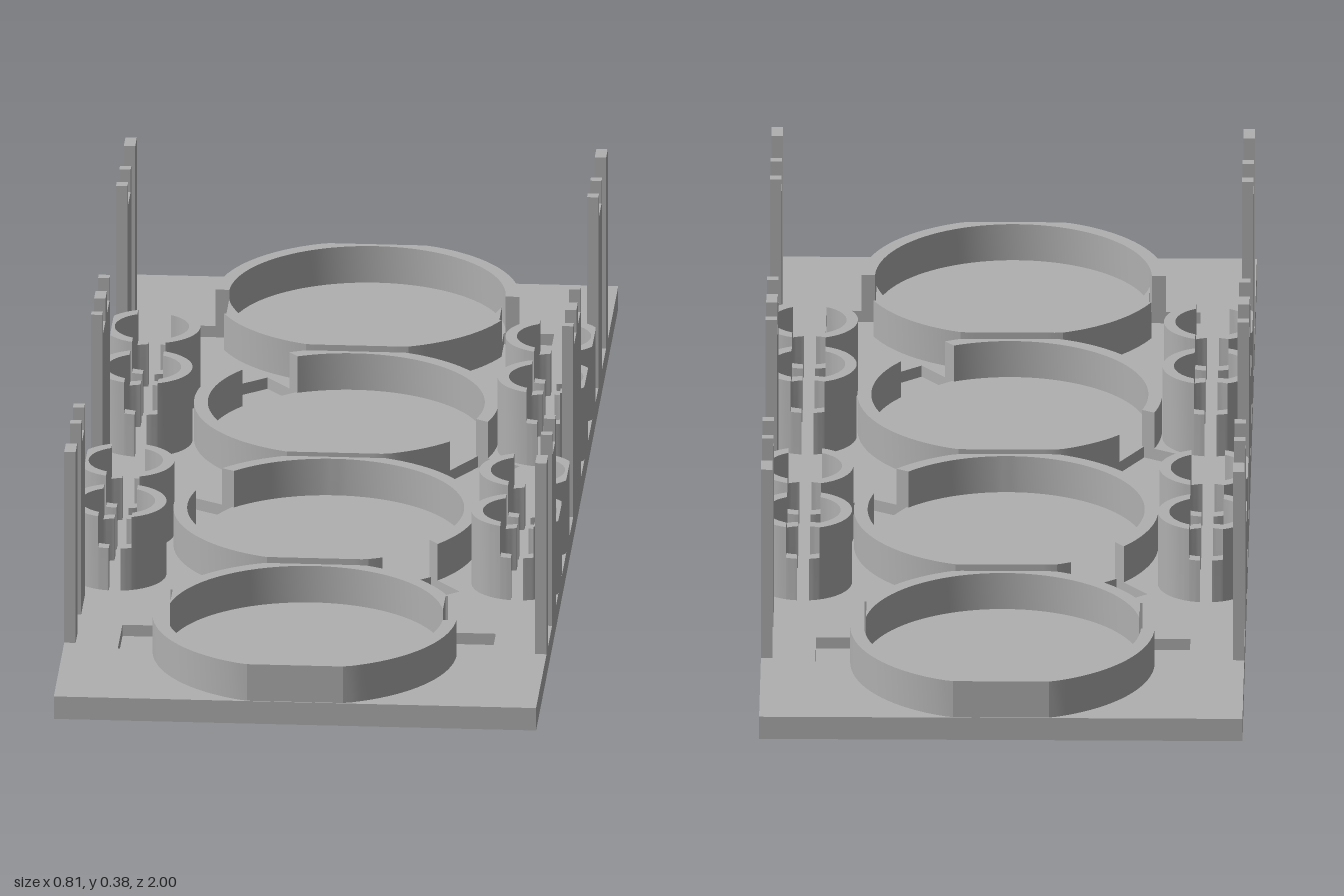
import * as THREE from 'three';
import { toCreasedNormals } from 'three/addons/utils/BufferGeometryUtils.js';

const W = 0.403, L = 1, TOP = 0.04;      // base half sizes and top height
const RO = 0.254, RI = 0.231;            // large ring radii
const CUT = 0.056, CUT_IN = 0.228, CUT_OUT = 0.312; // pocket half width and radial span
const RAD = Math.PI / 180;

export function createModel() {
  const grey = new THREE.MeshStandardMaterial({ color: 0xb0b0b0 });
  grey.name = 'grey plastic';
  const model = new THREE.Group();
  model.name = 'holderTray';

  const add = (parent, name, geometry) => {
    const mesh = new THREE.Mesh(geometry, grey);
    mesh.name = name;
    parent.add(mesh);
    return mesh;
  };

  // Extrude a plan outline of [x, z] points between two heights
  const slab = (points, y0, y1, holes = []) => {
    const toVec = ([x, z]) => new THREE.Vector2(x, z);
    const shape = new THREE.Shape(points.map(toVec));
    holes.forEach((h) => shape.holes.push(new THREE.Path(h.map(toVec))));
    const g = new THREE.ExtrudeGeometry(shape, { depth: y1 - y0, bevelEnabled: false });
    g.rotateX(Math.PI / 2).translate(0, y1, 0);
    return toCreasedNormals(g, 0.22);
  };

  // Plan points of an arc, clamped to limits
  const arc = (cx, cz, r, a0, a1, limX, limZ, n) => {
    const pts = [];
    for (let i = 0; i <= n; i++) {
      const a = a0 + ((a1 - a0) * i) / n;
      const x = THREE.MathUtils.clamp(cx + r * Math.cos(a), -limX, limX);
      const z = THREE.MathUtils.clamp(r * Math.sin(a), -limZ, limZ) + cz;
      pts.push([x, z]);
    }
    return pts;
  };

  // Rectangular pocket in the base, facing angle a with sideways offset o
  const pocket = (cz, a, o) => [[CUT_IN, o - CUT], [CUT_OUT, o - CUT], [CUT_OUT, o + CUT], [CUT_IN, o + CUT]]
    .map(([u, v]) => [u * Math.cos(a) - v * Math.sin(a), cz + u * Math.sin(a) + v * Math.cos(a)]);

  // Base plate with sunken pockets
  const Z1 = -0.758, Z2 = -0.25, OFF = 0.048;
  const A = 30.5 * RAD, B = 231.5 * RAD;
  const pockets = [pocket(Z1, 0, OFF), pocket(Z1, Math.PI, -OFF), pocket(Z2, A, 0), pocket(Z2, B, 0)];
  const opposite = pockets.map((p) => p.map(([x, z]) => [-x, -z]));
  const plate = [[-W, -L], [W, -L], [W, L], [-W, L]];
  add(model, 'basePlate', slab(plate, 0.02, TOP, [...pockets, ...opposite]));
  add(model, 'baseBottom', slab(plate, 0, 0.02));

  // Half of the tray; the other half is the same turned by 180 degrees
  const buildHalf = (name) => {
    const half = new THREE.Group();
    half.name = name;
    const H = 0.105, LZ = 0.24;

    // End ring: inner part with thinned walls beside the pockets
    const hi = OFF + CUT, lo = OFF - CUT;
    const thin = Math.acos(CUT_IN / RI);
    const sOut = Math.asin(hi / RO);
    add(half, 'endRingInner', slab([
      [CUT_IN, Z1 + hi],
      ...arc(0, Z1, RO, sOut, Math.PI - sOut, 9, LZ, 40),
      [-CUT_IN, Z1 + hi],
      ...arc(0, Z1, RI, Math.PI - thin, thin, 9, 9, 48),
    ], TOP, H));
    // End ring: outer part, trimmed flush with the base edge
    const eO = Math.asin(lo / RO), eI = Math.asin(lo / RI);
    add(half, 'endRingOuter', slab([
      ...arc(0, Z1, RO, Math.PI - eO, 2 * Math.PI + eO, 9, LZ, 48),
      ...arc(0, Z1, RI, 2 * Math.PI + eI, Math.PI - eI, 9, 9, 48),
    ], TOP, H));

    // Middle ring: two arcs between its pockets
    const gO = Math.asin(CUT / RO), gI = Math.asin(CUT / RI);
    [[A, B], [B, A + 2 * Math.PI]].forEach(([a, b]) => add(half, 'middleRing', slab([
      ...arc(0, Z2, RO, a + gO, b - gO, 9, LZ, 48),
      ...arc(0, Z2, RI, b - gI, a + gI, 9, 9, 48),
    ], TOP, H)));

    // Split cups: tall arcs with lower steps beside the slot
    const ro = 0.081, ri = 0.062, step = 0.028, slot = 0.01;
    for (const side of [-1, 1]) for (const cz of [-0.413, -0.221]) {
      const cx = side * 0.336;
      for (const a of [0, Math.PI]) {
        const tO = Math.acos(step / ro), tI = Math.acos(step / ri);
        add(half, 'cupWall', slab([
          ...arc(cx, cz, ro, a - tO, a + tO, W, 9, 20),
          ...arc(cx, cz, ri, a + tI, a - tI, W, 9, 20),
        ], TOP, 0.17));
        const lO = Math.acos(slot / ro), lI = Math.acos(slot / ri);
        for (const m of [-1, 1]) add(half, 'cupStep', slab([
          ...arc(cx, cz, ro, a + m * tO, a + m * lO, W, 9, 4),
          ...arc(cx, cz, ri, a + m * lI, a + m * tI, W, 9, 4),
        ], TOP, 0.115));
      }
    }

    // Edge posts: one plain and two forked on each long side
    const post = (side, name2, pts) => {
      const shape = new THREE.Shape(pts.map(([z, y]) => new THREE.Vector2(z, y)));
      const g = new THREE.ExtrudeGeometry(shape, { depth: 0.019, bevelEnabled: false });
      g.rotateY(-Math.PI / 2).translate(side > 0 ? W : -W + 0.019, 0, 0);
      add(half, name2, g);
    };
    for (const side of [-1, 1]) {
      post(side, 'plainPost', [[-0.745, TOP], [-0.705, TOP], [-0.705, 0.38], [-0.745, 0.38]]);
      for (const [z0, z1] of [[-0.61, -0.516], [-0.095, 0]]) {
        post(side, 'forkedPost', [
          [z0, TOP], [z1, TOP], [z1, 0.38], [z1 - 0.018, 0.38], [z1 - 0.018, 0.34],
          [z0 + 0.016, 0.34], [z0 + 0.016, 0.38], [z0, 0.38],
        ]);
      }
    }
    return half;
  };

  const back = buildHalf('backHalf');
  const front = buildHalf('frontHalf');
  front.rotation.y = Math.PI;
  model.add(back, front);
  return model;
}
